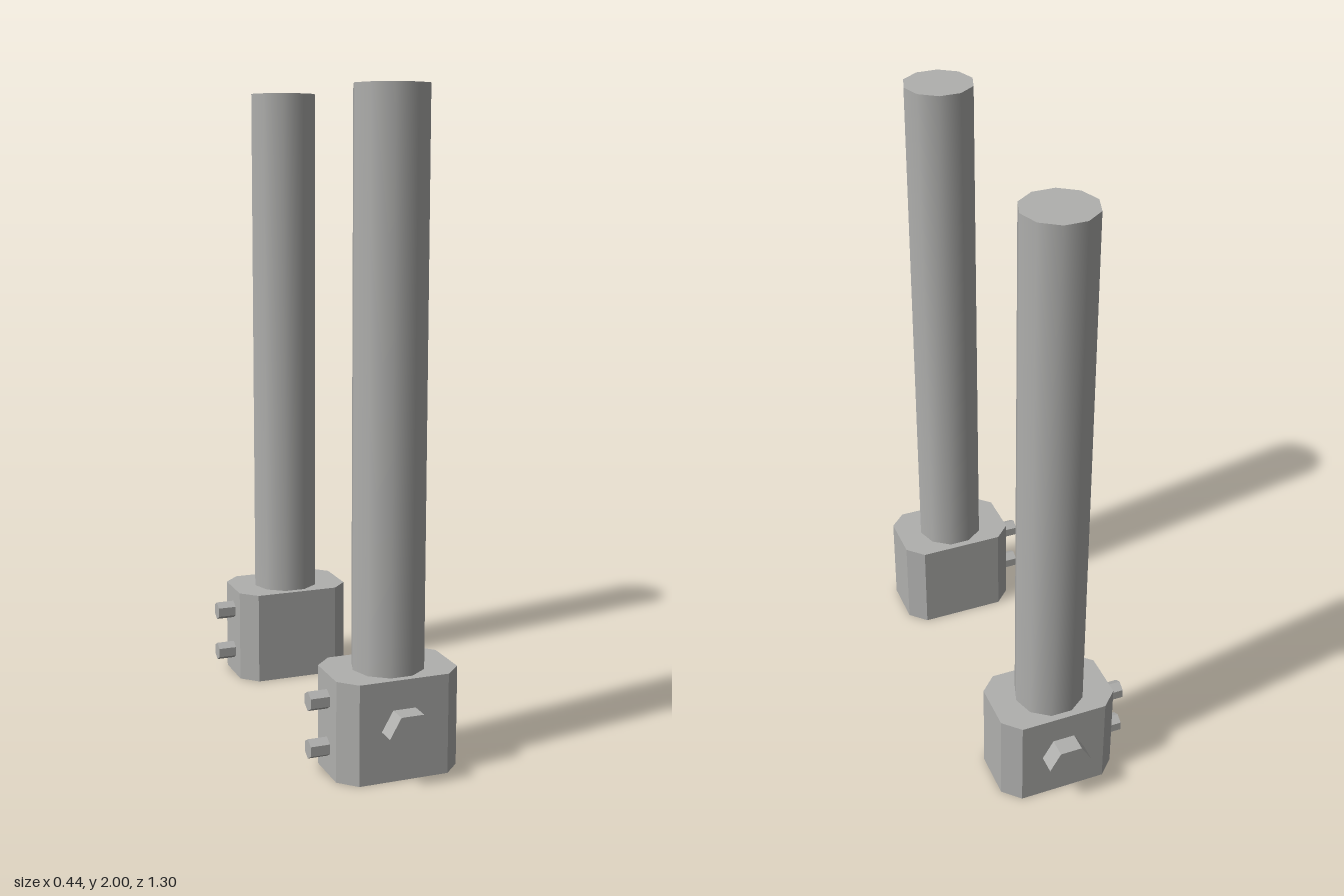
import * as THREE from 'three';

const CX = 0.029, CZ = 0.462, BASE_H = 0.308;

// hexagonal prism along y with two corners on the x axis, flat faces
function hexPrism(radius, length) {
  const g = new THREE.CylinderGeometry(radius, radius, length, 6).rotateY(Math.PI / 2).toNonIndexed();
  g.computeVertexNormals();
  return g;
}

// block with chamfered vertical edges, standing on y = 0
function chamferedBlock(w, d, h, c) {
  const x = w / 2, y = d / 2;
  const shape = new THREE.Shape([
    [x, -y + c], [x, y - c], [x - c, y], [-x + c, y],
    [-x, y - c], [-x, -y + c], [-x + c, -y], [x - c, -y],
  ].map(([a, b]) => new THREE.Vector2(a, b)));
  return new THREE.ExtrudeGeometry(shape, { depth: h, bevelEnabled: false }).rotateX(-Math.PI / 2);
}

export function createModel() {
  const grey = new THREE.MeshStandardMaterial({ color: 0xb0b0ae });
  grey.name = 'grey metal';
  const model = new THREE.Group();
  model.name = 'postPair';

  const add = (parent, name, geometry, x, y, z) => {
    const mesh = new THREE.Mesh(geometry, grey);
    mesh.name = name;
    mesh.position.set(x, y, z);
    parent.add(mesh);
  };

  for (const side of [1, -1]) {
    const post = new THREE.Group();
    post.name = side > 0 ? 'frontPost' : 'backPost';
    post.position.set(CX, 0, side * CZ);
    model.add(post);

    // clamp block and the ten-sided smooth rod rising from it
    add(post, 'clampBlock', chamferedBlock(0.385, 0.256, BASE_H, 0.052), 0, 0, 0);
    const rodH = 2 - BASE_H;
    const rod = new THREE.CylinderGeometry(0.111, 0.111, rodH, 10).rotateY(Math.PI / 2);
    add(post, 'rod', rod, 0, BASE_H + rodH / 2, 0);

    // large bolt head on the outward face
    const bolt = hexPrism(0.071, 0.06).rotateX(Math.PI / 2);
    add(post, 'boltHead', bolt, 0, 0.157, side * 0.158);

    // two small screws on the right side
    for (const y of [0.083, 0.23]) {
      add(post, 'smallScrew', hexPrism(0.03, 0.06).rotateZ(Math.PI / 2), -0.2225, y, 0);
    }
  }
  return model;
}
